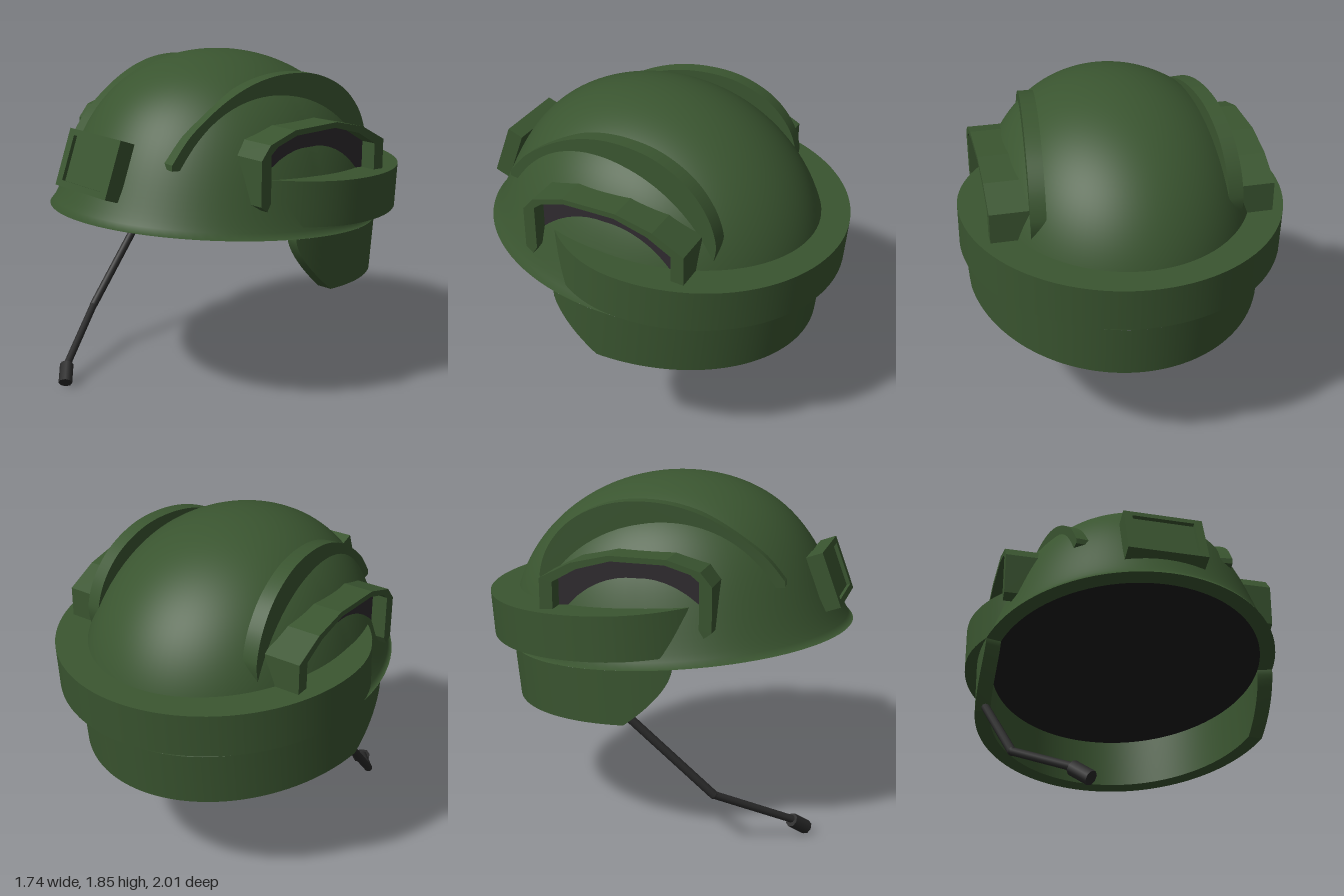
import * as THREE from 'three';
import { mergeGeometries } from 'three/addons/utils/BufferGeometryUtils.js';
import { ParametricGeometry } from 'three/addons/geometries/ParametricGeometry.js';

const paint = (color) => new THREE.MeshStandardMaterial({ color });
const green = paint(0x3a5530);
const black = paint(0x2a2a2a);
const liner = paint(0x1a1a1a);
const padding = paint(0x2f2b2f);

// Half width, height and half length of the shell
const RX = 0.82, RY = 0.862, RZ = 0.95;

function add(parent, name, geometry, material) {
  const mesh = new THREE.Mesh(geometry, material);
  mesh.name = name;
  parent.add(mesh);
  return mesh;
}

// Side profile of [z, y] points, extruded across x and centred on x = 0
function sideExtrude(shape, width) {
  const g = new THREE.ExtrudeGeometry(shape, { depth: width, bevelEnabled: false, curveSegments: 32 });
  return g.translate(0, 0, -width / 2).rotateY(-Math.PI / 2);
}

const polygon = (pts) => new THREE.Shape(pts.map(([x, y]) => new THREE.Vector2(x, y)));

// Dome: half ellipsoid that flares out towards the rim at front and sides
function domePoint(u, v, target) {
  const phi = u * Math.PI * 2, t = v * Math.PI / 2;
  const s = Math.sin(t), c = Math.cos(phi);
  const flare = 1 - 0.075 * Math.sin(Math.PI * Math.pow(s, 0.7)) * (1 - Math.max(0, -c));
  const r = Math.cos(t) * flare;
  target.set(RX * r * Math.sin(phi), RY * s, RZ * r * c);
}

// Point on the neck and ear skirt: u around, d down, k share of the outer radius
function skirtPoint(u, d, k, target) {
  const start = Math.acos((0.19 - 0.28 * Math.pow(d, 1.6)) / RZ);
  const phi = start + u * 2 * (Math.PI - start);
  target.set(RX * k * Math.sin(phi), -0.29 * d, RZ * k * Math.cos(phi));
}

function skirtGeometry() {
  const face = (fn, nu, nv) => new ParametricGeometry(fn, nu, nv);
  return mergeGeometries([
    face((u, v, p) => skirtPoint(u, 1 - v, 1, p), 72, 10), // outside
    face((u, v, p) => skirtPoint(1 - u, 1 - v, 0.9, p), 72, 10), // inside
    face((u, v, p) => skirtPoint(u, 1, 0.9 + 0.1 * v, p), 72, 2), // lower edge
    face((u, v, p) => skirtPoint(0, 1 - v, 0.9 + 0.1 * u, p), 2, 10), // front ends
    face((u, v, p) => skirtPoint(1, 1 - v, 1 - 0.1 * u, p), 2, 10),
  ]);
}

// Raised crescent fin running over the dome
function finGeometry() {
  const shape = new THREE.Shape();
  shape.moveTo(0.72, 1.36);
  shape.lineTo(0.72, 1.39);
  shape.splineThru([[0.6, 1.525], [0.4, 1.66], [0.2, 1.74], [0, 1.767], [-0.2, 1.745],
    [-0.38, 1.66], [-0.5, 1.53], [-0.555, 1.38], [-0.54, 1.26]].map(([x, y]) => new THREE.Vector2(x, y)));
  shape.closePath();
  return sideExtrude(shape, 0.08);
}

// Cylinder between two points
function rod(from, to, radius, sides) {
  const dir = to.clone().sub(from);
  const g = new THREE.CylinderGeometry(radius, radius, dir.length(), sides);
  g.applyQuaternion(new THREE.Quaternion().setFromUnitVectors(new THREE.Vector3(0, 1, 0), dir.normalize()));
  const mid = from.clone().add(to).multiplyScalar(0.5);
  return g.translate(mid.x, mid.y, mid.z);
}

export function createModel() {
  const model = new THREE.Group();
  model.name = 'helmet';

  // Shell, tilted up at the front
  const shell = new THREE.Group();
  shell.name = 'shell';
  shell.position.set(0, 0.985, 0.055);
  shell.rotation.x = -0.1;
  model.add(shell);
  add(shell, 'dome', new ParametricGeometry(domePoint, 96, 40), green);
  add(shell, 'skirt', skirtGeometry(), green);
  add(shell, 'rim', new THREE.RingGeometry(0.9, 1, 96).rotateX(Math.PI / 2).scale(RX, 1, RZ), green);
  add(shell, 'liner', new THREE.CircleGeometry(0.93, 96).rotateX(Math.PI / 2).scale(RX, 1, RZ), liner)
    .position.y = 0.01;

  // Band around the back, its shorter front half sinking into the dome
  const bandGeo = new THREE.CylinderGeometry(0.87, 0.87, 0.235, 96);
  const pos = bandGeo.attributes.position;
  for (let i = 0; i < pos.count; i++) {
    if (pos.getZ(i) > 0) pos.setZ(i, pos.getZ(i) * 0.8);
  }
  const band = add(model, 'backBand', bandGeo, green);
  band.position.set(0, 1.145, -0.13);
  band.rotation.x = -0.07;

  // Fins and ear arches on both sides
  const arch = polygon([
    [0.43, 1.19], [0.43, 1.42], [0.37, 1.49], [0.2, 1.54], [-0.1, 1.54], [-0.3, 1.49], [-0.47, 1.4], [-0.47, 1.2],
    [-0.4, 1.2], [-0.4, 1.385], [-0.27, 1.46], [-0.09, 1.512], [0.19, 1.512], [0.32, 1.475], [0.365, 1.44],
    [0.365, 1.2], [0.39, 1.16],
  ]);
  const opening = polygon([
    [0.38, 1.2], [0.38, 1.45], [0.2, 1.52], [-0.1, 1.52], [-0.28, 1.47], [-0.41, 1.39], [-0.41, 1.2],
  ]);
  for (const [side, s] of [['left', 1], ['right', -1]]) {
    const fin = add(model, side + 'Fin', finGeometry(), green);
    fin.position.x = s * 0.455;
    fin.rotation.y = -s * 0.1;
    add(model, side + 'EarArch', sideExtrude(arch, 0.22), green).position.x = s * 0.635;
    add(model, side + 'EarPad', sideExtrude(opening, 0.02), padding).position.x = s * 0.65;
  }

  // Front mount: a frame with a slightly recessed plate
  const mount = new THREE.Group();
  mount.name = 'frontMount';
  mount.position.set(0, 1.36, 0.918);
  mount.rotation.x = -0.36;
  model.add(mount);
  const rect = (w, h) => [[-w, -h], [w, -h], [w, h], [-w, h]];
  const frame = polygon(rect(0.21, 0.15));
  frame.holes.push(polygon(rect(0.165, 0.118)));
  add(mount, 'mountFrame', new THREE.ExtrudeGeometry(frame, { depth: 0.09, bevelEnabled: false }), green)
    .position.z = -0.09;
  add(mount, 'mountPlate', new THREE.BoxGeometry(0.34, 0.245, 0.06), green).position.z = -0.05;

  // Microphone boom on the right
  const base = new THREE.Vector3(-0.77, 0.74, -0.02);
  const elbow = new THREE.Vector3(-0.668, 0.3, 0.43);
  const end = new THREE.Vector3(-0.42, 0.095, 0.81);
  const boom = mergeGeometries([
    rod(base, elbow, 0.023, 10),
    rod(elbow, end, 0.021, 10),
    new THREE.SphereGeometry(0.023, 10, 8).translate(elbow.x, elbow.y, elbow.z),
  ]);
  add(model, 'microphoneBoom', boom, black);
  add(model, 'microphone',
    rod(new THREE.Vector3(-0.435, 0.1, 0.795), new THREE.Vector3(-0.36, 0.032, 0.86), 0.038, 8), black);

  return model;
}
